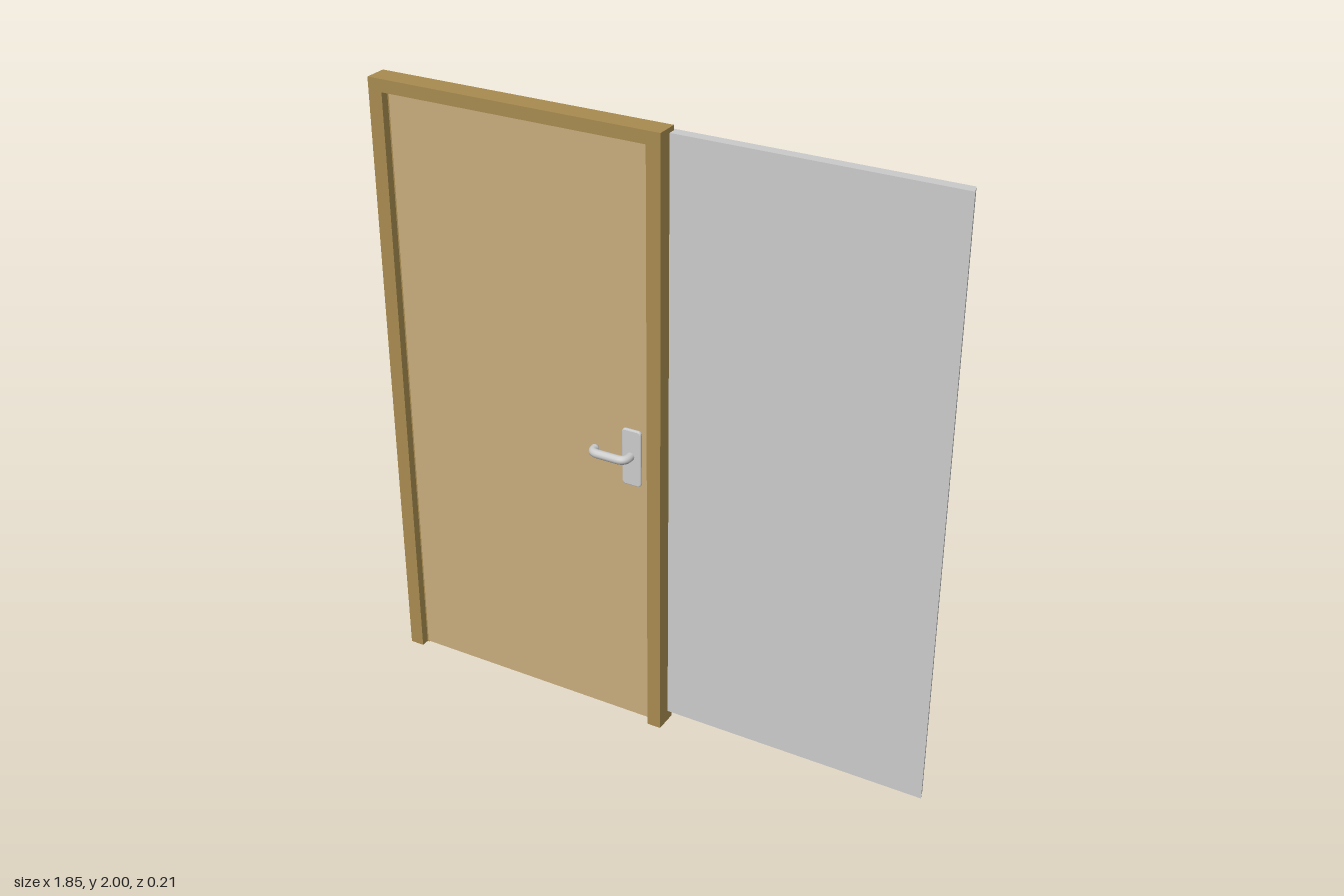
import * as THREE from 'three';

const mat = (color, side = THREE.FrontSide) => new THREE.MeshStandardMaterial({ color, side });
const frameMat = mat(0xa88b50);
const doorMat = mat(0xc8ac7c);
const greyMat = mat(0xcccccc);
const caseMat = mat(0x333333);
const screenMat = mat(0x55802a);
const keyMat = mat(0xa8a8a8);

function add(parent, name, geometry, material) {
  const mesh = new THREE.Mesh(geometry, material);
  mesh.name = name;
  parent.add(mesh);
  return mesh;
}

// Box given by its limits on each axis
function block(parent, name, material, [x0, x1], [y0, y1], [z0, z1]) {
  const g = new THREE.BoxGeometry(x1 - x0, y1 - y0, z1 - z0);
  g.translate((x0 + x1) / 2, (y0 + y1) / 2, (z0 + z1) / 2);
  return add(parent, name, g, material);
}

// Rounded, bevelled plate standing on z = 0 and growing towards +z
function plate(w, h, depth, r, bevel) {
  const x = w / 2 - bevel, y = h / 2 - bevel;
  const s = new THREE.Shape();
  s.moveTo(-x + r, -y);
  s.lineTo(x - r, -y);
  s.absarc(x - r, -y + r, r, -Math.PI / 2, 0);
  s.lineTo(x, y - r);
  s.absarc(x - r, y - r, r, 0, Math.PI / 2);
  s.lineTo(-x + r, y);
  s.absarc(-x + r, y - r, r, Math.PI / 2, Math.PI);
  s.lineTo(-x, -y + r);
  s.absarc(-x + r, -y + r, r, Math.PI, Math.PI * 1.5);
  const g = new THREE.ExtrudeGeometry(s, {
    depth: depth - 2 * bevel, bevelEnabled: true, bevelThickness: bevel,
    bevelSize: bevel, bevelSegments: 2, curveSegments: 5,
  });
  return g.translate(0, 0, bevel);
}

// Lever and cover plate, door surface at z = 0
function makeHandle(name) {
  const handle = new THREE.Group();
  handle.name = name;
  const cover = add(handle, 'handlePlate', plate(0.065, 0.19, 0.012, 0.008, 0.004), greyMat);
  cover.position.set(-0.057, 0.96, 0);

  const v = (x, z) => new THREE.Vector3(x, 0.965, z);
  const path = new THREE.CurvePath();
  path.add(new THREE.LineCurve3(v(-0.06, 0), v(-0.06, 0.02)));
  path.add(new THREE.QuadraticBezierCurve3(v(-0.06, 0.02), v(-0.06, 0.046), v(-0.086, 0.046)));
  path.add(new THREE.LineCurve3(v(-0.086, 0.046), v(-0.152, 0.046)));
  path.add(new THREE.QuadraticBezierCurve3(v(-0.152, 0.046), v(-0.178, 0.046), v(-0.178, 0.022)));
  add(handle, 'lever', new THREE.TubeGeometry(path, 40, 0.014, 12), greyMat);
  const tip = add(handle, 'leverTip', new THREE.SphereGeometry(0.014, 12, 8), greyMat);
  tip.position.copy(v(-0.178, 0.022));
  return handle;
}

function makeKeypad() {
  const keypad = new THREE.Group();
  keypad.name = 'keypad';
  // Plates are turned to face -z
  const tier = (name, m, x, y, z, w, h, d, r, b) => {
    const mesh = add(keypad, name, plate(w, h, d, r, b), m);
    mesh.rotation.y = Math.PI;
    mesh.position.set(x, y, z);
  };
  tier('keypadBase', caseMat, 0.272, 1.027, -0.012, 0.38, 0.535, 0.036, 0.035, 0.006);
  tier('keypadBody', caseMat, 0.272, 1.025, -0.045, 0.325, 0.47, 0.049, 0.025, 0.006);
  tier('screen', screenMat, 0.272, 1.19, -0.088, 0.24, 0.08, 0.009, 0.003, 0.001);
  for (let row = 0; row < 4; row++)
    for (let col = 0; col < 3; col++)
      tier('key', keyMat, 0.18 + col * 0.092, 0.85 + row * 0.073, -0.09,
        0.06, 0.056, 0.018, 0.006, 0.003);
  return keypad;
}

export function createModel() {
  const model = new THREE.Group();
  model.name = 'doorWithKeypad';

  // Door frame
  const z = [-0.005, 0.07];
  block(model, 'rightJamb', frameMat, [-0.927, -0.88], [0, 1.96], z);
  block(model, 'leftJamb', frameMat, [0.004, 0.05], [0, 1.96], z);
  block(model, 'header', frameMat, [-0.927, 0.05], [1.96, 2], z);
  block(model, 'hingeStrip', frameMat, [-0.88, -0.874], [0, 1.96], [0.022, 0.043]);

  // Door leaf, set back from both faces of the frame
  block(model, 'doorLeaf', doorMat, [-0.874, 0], [0.005, 1.96], [0.02, 0.045]);

  // A handle on each side
  const front = makeHandle('frontHandle');
  front.position.z = 0.045;
  const back = new THREE.Group();
  back.name = 'backHandle';
  const turned = makeHandle('backLever');
  turned.scale.z = -1;
  turned.position.z = 0.02;
  back.add(turned);
  model.add(front, back);

  // Wall panel with slightly slanted ends (plan outline drawn in x and -z)
  const plan = new THREE.Shape([[0.045, 0.015], [0.05, -0.02], [0.925, -0.02], [0.915, 0.015]]
    .map(([x, y]) => new THREE.Vector2(x, y)));
  const wall = new THREE.ExtrudeGeometry(plan, { depth: 1.95, bevelEnabled: false });
  wall.rotateX(-Math.PI / 2).translate(0, 0.035, 0);
  add(model, 'wallPanel', wall, greyMat);

  model.add(makeKeypad());
  return model;
}
